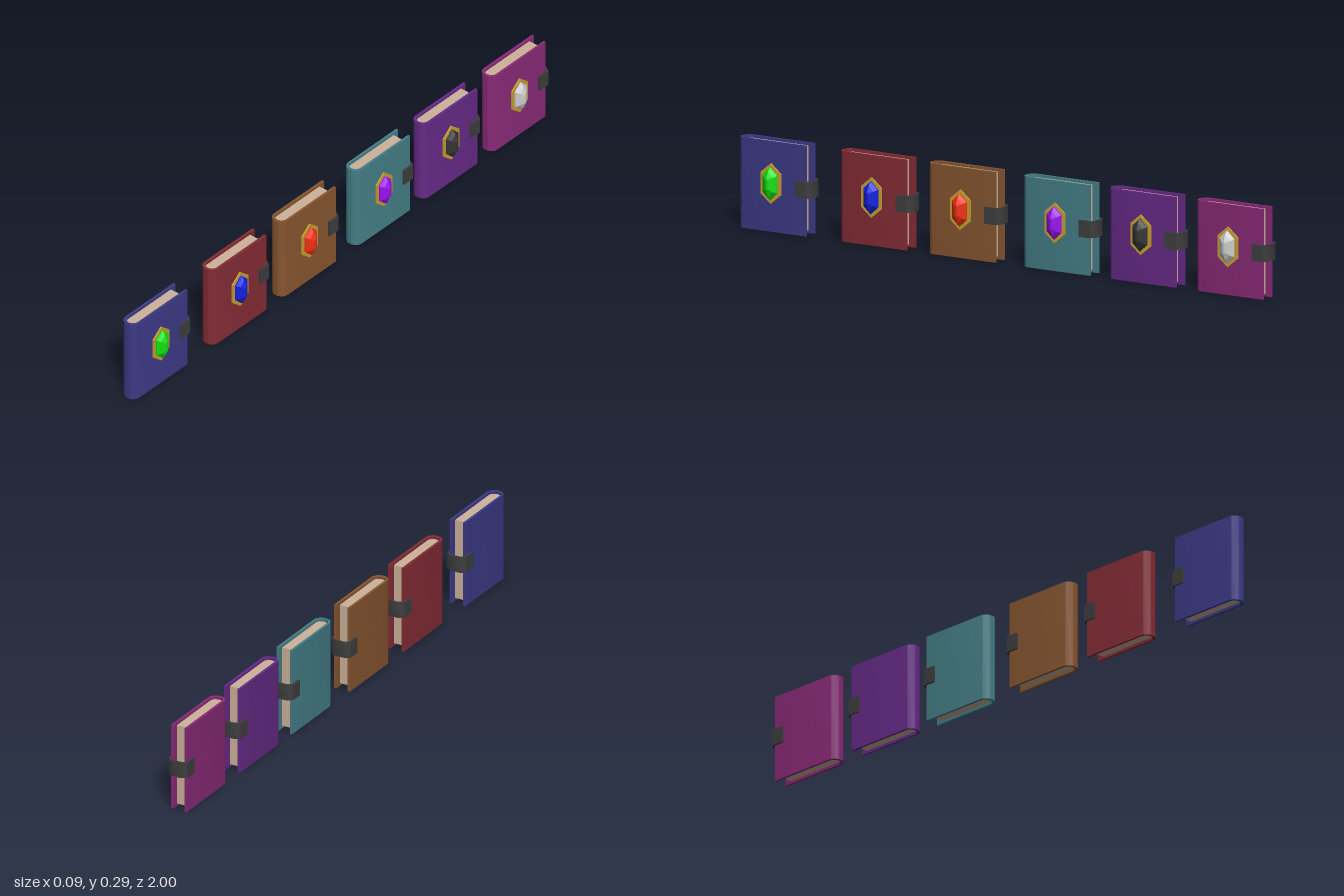
import * as THREE from 'three';
import { toCreasedNormals } from 'three/addons/utils/BufferGeometryUtils.js';

const HEIGHT = 0.29, HALF_T = 0.0285, BACK = -0.129, FRONT = 0.129;

function mesh(name, geometry, color, flat = false) {
  const material = new THREE.MeshStandardMaterial({ color, flatShading: flat });
  const m = new THREE.Mesh(geometry, material);
  m.name = name;
  return m;
}

// Extrude an outline of [x, z] points upward from y0 to y1
function extrudeUp(points, y0, y1) {
  const shape = new THREE.Shape(points.map(([x, z]) => new THREE.Vector2(x, -z)));
  const g = new THREE.ExtrudeGeometry(shape, { depth: y1 - y0, bevelEnabled: false });
  g.rotateX(-Math.PI / 2).translate(0, y0, 0);
  return toCreasedNormals(g, 0.6);
}

// Open U outline: straight sides from zBack, rounded end at zFront
function roundedEnd(halfX, zBack, zFront, depth) {
  const pts = [[halfX, zBack]];
  const n = 14;
  for (let i = 0; i <= n; i++) {
    const a = (i / n) * Math.PI;
    pts.push([halfX * Math.cos(a), zFront - depth + depth * Math.sin(a)]);
  }
  pts.push([-halfX, zBack]);
  return pts;
}

// Pointed hexagon with upright sides, as [z, y] corners
const hexagon = (w, h, s) => [[0, h], [-w, s], [-w, -s], [0, -h], [w, -s], [w, s]];

// Gold bezel: hexagon ring facing +x
function frameGeometry() {
  const toVectors = (pts) => pts.map(([a, b]) => new THREE.Vector2(a, b));
  const shape = new THREE.Shape(toVectors(hexagon(0.038, 0.065, 0.034)));
  shape.holes.push(new THREE.Path(toVectors(hexagon(0.026, 0.051, 0.027))));
  const g = new THREE.ExtrudeGeometry(shape, { depth: 0.006, bevelEnabled: false });
  return g.rotateY(Math.PI / 2);
}

// Faceted stone: stacked hexagons narrowing to a slim ridge
function gemGeometry() {
  const rings = [
    [0, 0.027, 0.053, 0.028],
    [0.009, 0.027, 0.053, 0.028],
    [0.019, 0.017, 0.041, 0.023],
    [0.028, 0.004, 0.021, 0.014],
  ];
  const pos = [], index = [];
  for (const [x, w, h, s] of rings) {
    for (const [z, y] of hexagon(w, h, s)) pos.push(x, y, z);
  }
  for (let r = 0; r < rings.length - 1; r++) {
    for (let i = 0; i < 6; i++) {
      const j = (i + 1) % 6;
      const a = r * 6 + i, b = r * 6 + j, c = a + 6, d = b + 6;
      index.push(a, c, b, b, c, d);
    }
  }
  const top = (rings.length - 1) * 6;
  for (let i = 1; i < 5; i++) index.push(top, top + i + 1, top + i);
  const g = new THREE.BufferGeometry();
  g.setAttribute('position', new THREE.Float32BufferAttribute(pos, 3));
  g.setIndex(index);
  const flat = g.toNonIndexed();
  flat.computeVertexNormals();
  return flat;
}

// Cover wrapped around the spine, and the page block inside it
const coverGeometry = extrudeUp([
  ...roundedEnd(HALF_T, BACK, FRONT, 0.026),
  ...roundedEnd(0.0205, BACK, FRONT - 0.009, 0.019).reverse(),
], 0, HEIGHT);
const pagesGeometry = extrudeUp(roundedEnd(0.0205, -0.107, FRONT - 0.009, 0.019), 0.009, HEIGHT - 0.009);

// Clasp strap bent around the open edge
const strap = (x, z, tip, tipX) => [[x, -0.092], [x, z], [tipX, tip], [-tipX, tip], [-x, z], [-x, -0.092]];
const claspGeometry = extrudeUp([
  ...strap(0.035, -0.135, -0.146, 0.018),
  ...strap(HALF_T, -0.131, -0.140, 0.016).reverse(),
], 0.122, 0.176);

const frameGeo = frameGeometry();
const gemGeo = gemGeometry();

function makeBook(coverColor, gemColor) {
  const book = new THREE.Group();
  book.name = 'book';
  book.add(mesh('cover', coverGeometry, coverColor));
  book.add(mesh('pages', pagesGeometry, 0xcdb29b));
  book.add(mesh('clasp', claspGeometry, 0x3e3e3e));
  const frame = mesh('gemFrame', frameGeo, 0xc9a032);
  frame.position.set(HALF_T - 0.001, 0.155, 0);
  const gem = mesh('gem', gemGeo, gemColor, true);
  gem.position.set(HALF_T, 0.155, 0);
  book.add(frame, gem);
  return book;
}

export function createModel() {
  const model = new THREE.Group();
  model.name = 'bookRow';
  // Spine position, cover colour, gem colour
  const books = [
    [1.0, 0x3d3a88, 0x12e012],
    [0.62, 0x862c36, 0x1020e0],
    [0.285, 0x885630, 0xf03010],
    [-0.072, 0x457f88, 0x9a10f0],
    [-0.396, 0x672a88, 0x343434],
    [-0.725, 0x8a2a78, 0xcccccc],
  ];
  for (const [spineZ, cover, gem] of books) {
    const book = makeBook(cover, gem);
    book.position.set(-0.0115, 0, spineZ - FRONT);
    model.add(book);
  }
  return model;
}
